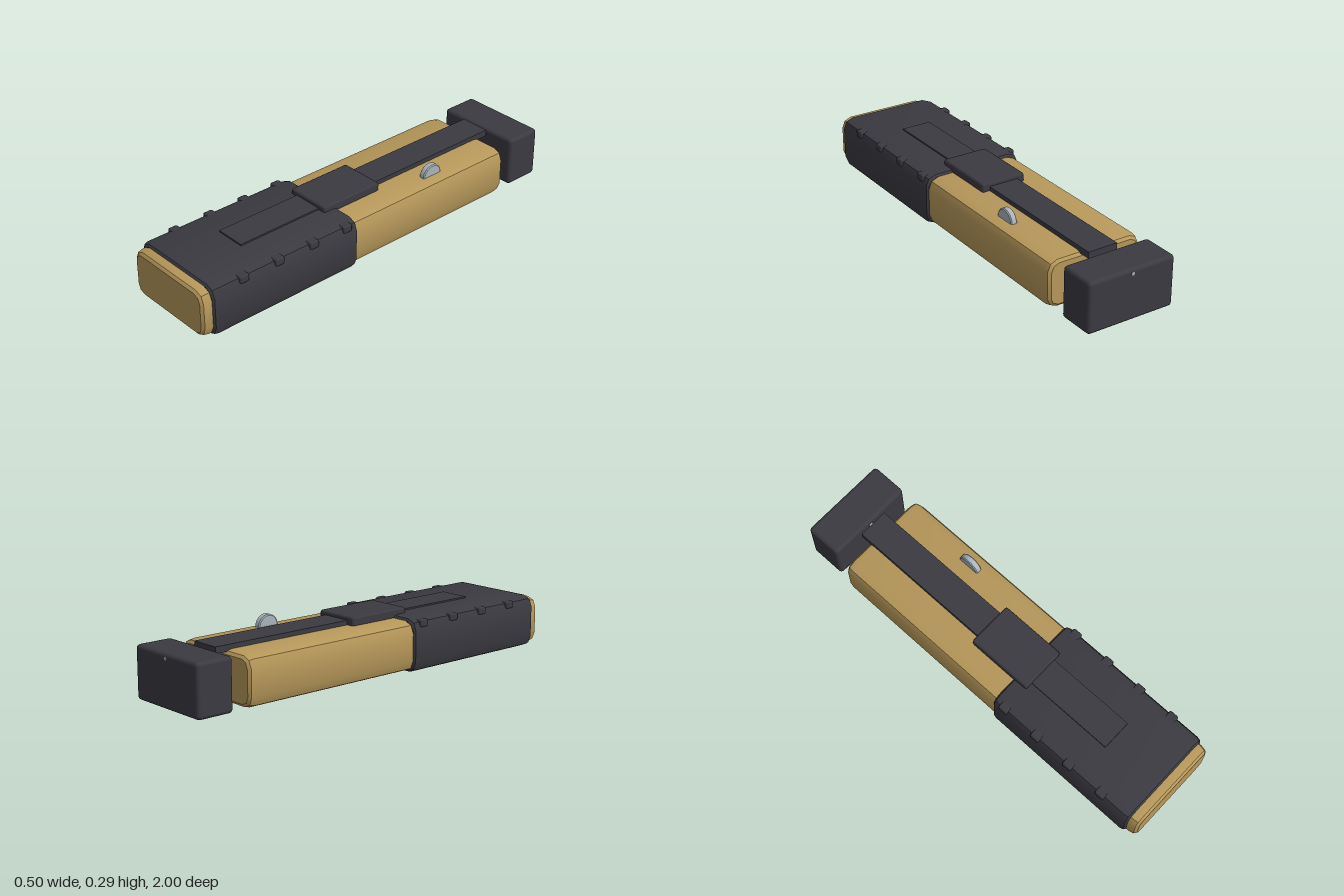
import * as THREE from 'three';
import { toCreasedNormals } from 'three/addons/utils/BufferGeometryUtils.js';
import { RoundedBoxGeometry } from 'three/addons/geometries/RoundedBoxGeometry.js';

const material = (name, color) => {
  const m = new THREE.MeshStandardMaterial({ color });
  m.name = name;
  return m;
};

// Rounded-rectangle bar along z, with bevelled ends
function bar(w, h, z0, z1, radius, endDepth, endInset, endSteps = 2) {
  const x = w / 2 - endInset, y = h / 2 - endInset, r = radius - endInset;
  const s = new THREE.Shape();
  s.absarc(x - r, y - r, r, 0, Math.PI / 2);
  s.absarc(-x + r, y - r, r, Math.PI / 2, Math.PI);
  s.absarc(-x + r, -y + r, r, Math.PI, Math.PI * 1.5);
  s.absarc(x - r, -y + r, r, Math.PI * 1.5, Math.PI * 2);
  const g = new THREE.ExtrudeGeometry(s, {
    depth: z1 - z0 - 2 * endDepth, curveSegments: 1,
    bevelEnabled: true, bevelThickness: endDepth, bevelSize: endInset, bevelSegments: endSteps,
  });
  g.translate(0, 0, z0 + endDepth);
  return toCreasedNormals(g, 0.5);
}

export function createModel() {
  const model = new THREE.Group();
  model.name = 'slideTool';
  const tan = material('tan', 0xb7985a);
  const dark = material('charcoal', 0x3b3a41);
  const steel = material('steel', 0xaab4bb);

  const add = (name, geometry, mat, x, y, z) => {
    const mesh = new THREE.Mesh(geometry, mat);
    mesh.name = name;
    mesh.position.set(x, y, z);
    model.add(mesh);
    return mesh;
  };
  const block = (w, h, d, r, n = 1) => new RoundedBoxGeometry(w, h, d, n, r);

  // Long handle body and the grip sleeve around its front half
  const section = (w, h, z0, z1, depth, inset) => {
    const g = bar(w, h, z0, z1, 0.055, depth, inset);
    return g;
  };
  add('body', section(0.472, 0.228, -0.75, 1, 0.035, 0.018), tan, 0, 0.122, 0);
  add('gripSleeve', section(0.5, 0.25, 0.17, 0.952, 0.025, 0.014), dark, 0, 0.125, 0);

  // Grip ribs on both upper edges
  for (const side of [-1, 1]) {
    for (const z of [0.79, 0.603, 0.416, 0.229]) {
      add('gripRib', block(0.05, 0.035, 0.048, 0.008), dark, side * 0.225, 0.227, z);
    }
  }

  // Top rail and thumb slider
  add('topRail', new THREE.BoxGeometry(0.146, 0.03, 1.472), dark, 0, 0.242, -0.064);
  add('slider', block(0.222, 0.045, 0.322, 0.01), dark, 0, 0.253, 0.083);

  // Thumb wheel set into the top
  const wheelProfile = [[0, -0.0155], [0.049, -0.0155], [0.054, -0.011], [0.054, 0.011], [0.049, 0.0155], [0, 0.0155]]
    .map(([r, y]) => new THREE.Vector2(r, y));
  const wheelGeometry = toCreasedNormals(new THREE.LatheGeometry(wheelProfile, 32), 0.6);
  const wheel = add('thumbWheel', wheelGeometry, steel, 0.161, 0.234, -0.345);
  wheel.rotation.z = Math.PI / 2;

  // Thin steel neck, end block and its pin
  add('neckPlate', new THREE.BoxGeometry(0.018, 0.165, 0.14), steel, 0, 0.143, -0.78);
  add('endBlock', block(0.432, 0.24, 0.18, 0.018, 2), dark, 0, 0.13, -0.909);
  const pin = add('endPin', new THREE.CylinderGeometry(0.008, 0.008, 0.02, 12), steel, 0, 0.228, -0.99);
  pin.rotation.x = Math.PI / 2;

  return model;
}
